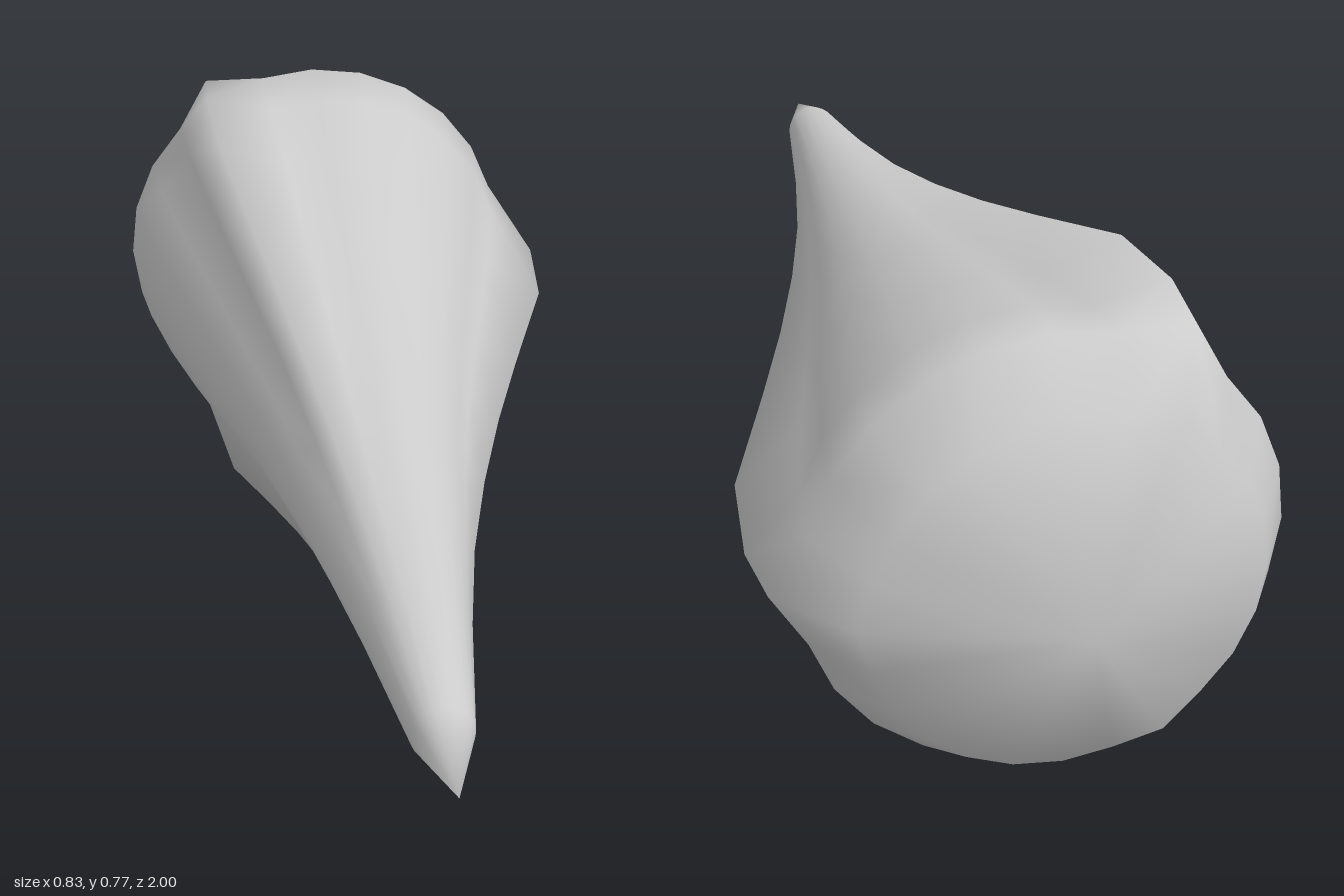
import * as THREE from 'three';

const SIDES = 24; // the three ridges fall on every eighth column

// Cross-sections along z: [z, body radius, ridge radius]
const SECTIONS = [
  [-0.89, 0.312, 0.326],
  [-0.775, 0.386, 0.432],
  [-0.66, 0.371, 0.445],
  [-0.47, 0.325, 0.424],
  [-0.2, 0.253, 0.322],
  [0, 0.2, 0.25],
  [0.2, 0.157, 0.186],
  [0.4, 0.12, 0.132],
  [0.6, 0.087, 0.092],
  [0.86, 0.05, 0.05],
];

// Closed smooth shell: rings joined by quads, with a point at each end
function ridgedShell() {
  const positions = [];
  const index = [];
  for (const [z, body, ridge] of SECTIONS) {
    for (let i = 0; i < SIDES; i++) {
      const a = (i / SIDES) * Math.PI * 2;
      const r = i % 8 === 0 ? ridge : body;
      positions.push(Math.cos(a) * r, Math.sin(a) * r, z);
    }
  }
  const rings = SECTIONS.length;
  const back = rings * SIDES;
  const front = back + 1;
  positions.push(0, 0, -1, 0, 0, 1);

  for (let i = 0; i < SIDES; i++) {
    const j = (i + 1) % SIDES;
    index.push(back, j, i);
    for (let k = 0; k < rings - 1; k++) {
      const p = k * SIDES;
      const q = p + SIDES;
      // mirror the diagonal on either side of each ridge
      if (i % 8 < 4) index.push(p + i, p + j, q + i, p + j, q + j, q + i);
      else index.push(p + i, p + j, q + j, p + i, q + j, q + i);
    }
    const last = (rings - 1) * SIDES;
    index.push(last + i, last + j, front);
  }
  const geometry = new THREE.BufferGeometry();
  geometry.setAttribute('position', new THREE.Float32BufferAttribute(positions, 3));
  geometry.setIndex(index);
  geometry.computeVertexNormals();
  return geometry;
}

export function createModel() {
  const group = new THREE.Group();
  group.name = 'ridgedSpike';

  // Tapering body with three ridges and pointed ends
  const material = new THREE.MeshStandardMaterial({ color: 0xcccccc });
  const spike = new THREE.Mesh(ridgedShell(), material);
  spike.name = 'spikeBody';
  spike.position.set(-0.03, 0.387, 0);
  group.add(spike);

  return group;
}
